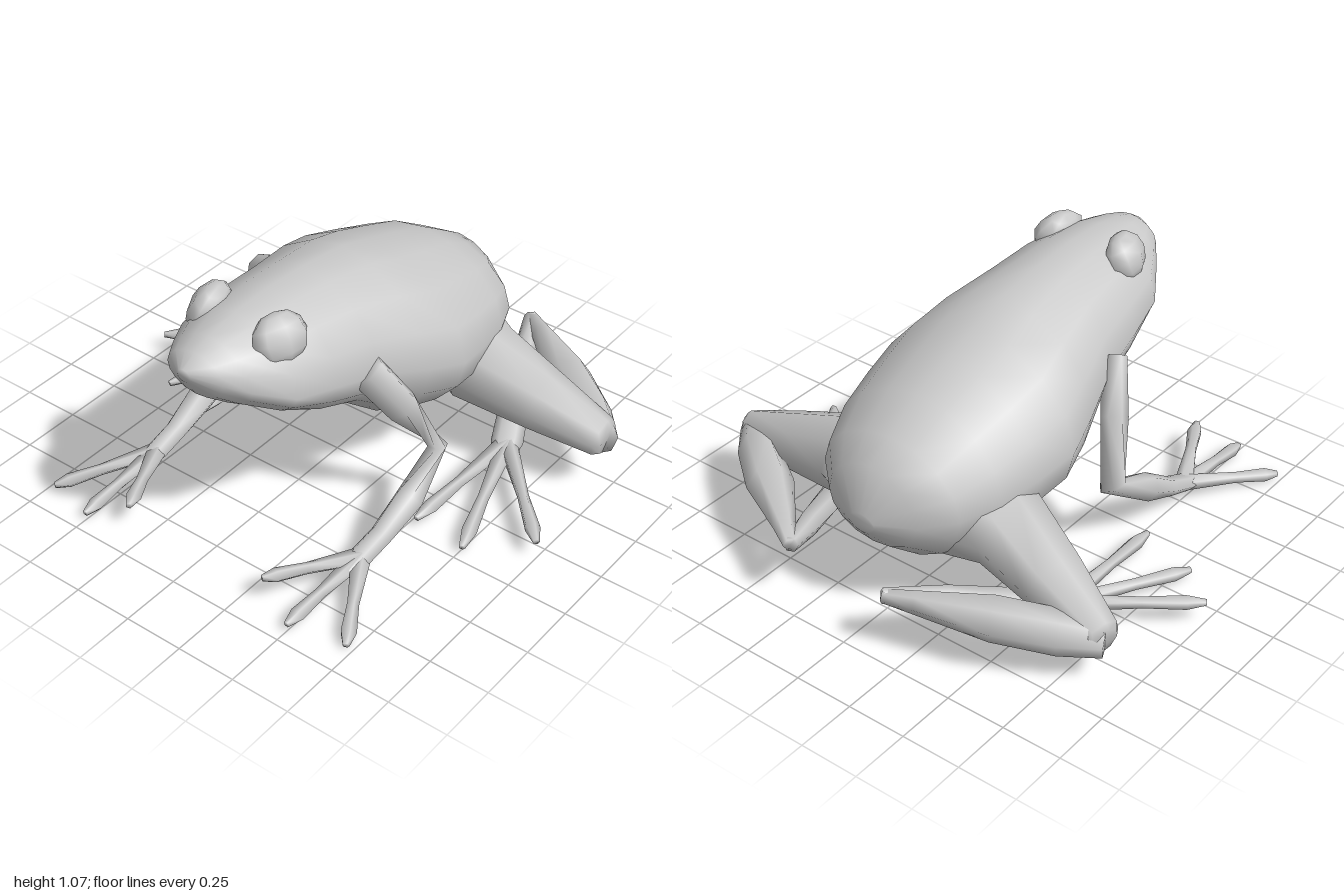
import * as THREE from 'three';

const skin = new THREE.MeshStandardMaterial({ color: 0xc8c8c8 });
skin.name = 'greySkin';

// Skin over a list of equal-sized rings of points, closed at both ends
function loft(name, rings) {
  const n = rings[0].length, pos = [], index = [];
  rings.forEach(r => r.forEach(p => pos.push(p.x, p.y, p.z)));
  for (let i = 0; i < rings.length - 1; i++) {
    for (let j = 0; j < n; j++) {
      const a = i * n + j, b = i * n + (j + 1) % n;
      index.push(a, b, b + n, a, b + n, a + n);
    }
  }
  const last = (rings.length - 1) * n;
  for (let j = 1; j < n - 1; j++) {
    index.push(0, j + 1, j, last, last + j, last + j + 1);
  }
  const geo = new THREE.BufferGeometry();
  geo.setAttribute('position', new THREE.Float32BufferAttribute(pos, 3));
  geo.setIndex(index);
  geo.computeVertexNormals();
  const mesh = new THREE.Mesh(geo, skin);
  mesh.name = name;
  return mesh;
}

// Limb along stations [x, y, z, sideways radius, upright radius]
function limb(name, stations, sides = 6) {
  const c = stations.map(s => new THREE.Vector3(s[0], s[1], s[2]));
  const up = new THREE.Vector3(0, 1, 0);
  return loft(name, stations.map((st, i) => {
    const t = c[Math.min(i + 1, c.length - 1)].clone().sub(c[Math.max(i - 1, 0)]).normalize();
    const s = up.clone().cross(t).normalize();
    const u = t.clone().cross(s);
    return Array.from({ length: sides }, (_, j) => {
      const a = j / sides * Math.PI * 2;
      return c[i].clone().addScaledVector(s, Math.cos(a) * st[3])
        .addScaledVector(u, Math.sin(a) * st[4]);
    });
  }));
}

const mix = (a, b, k) => a.map((v, i) => v + (b[i] - v) * k);

// Toe with a slightly swollen end
function toe(name, from, to) {
  return limb(name, [[...from, 0.042, 0.03], [...mix(from, to, 0.55), 0.024, 0.023],
    [...mix(from, to, 0.86), 0.032, 0.027], [...to, 0.014, 0.012]], 5);
}

function createBody(cx) {
  // z, top, widest height, bottom, half width
  const sections = [
    [0.92, 0.97, 0.945, 0.92, 0.03], [0.86, 1.01, 0.92, 0.83, 0.13],
    [0.78, 1.035, 0.87, 0.77, 0.19], [0.64, 1.06, 0.80, 0.68, 0.28],
    [0.45, 1.065, 0.76, 0.56, 0.32], [0.25, 1.05, 0.71, 0.48, 0.35],
    [0.02, 1.02, 0.63, 0.29, 0.42], [-0.15, 0.965, 0.58, 0.25, 0.465],
    [-0.32, 0.905, 0.55, 0.21, 0.44], [-0.5, 0.84, 0.52, 0.21, 0.40],
    [-0.66, 0.74, 0.50, 0.24, 0.33], [-0.77, 0.67, 0.48, 0.33, 0.21],
    [-0.83, 0.49, 0.45, 0.41, 0.06],
  ];
  // Rounded back narrowing upwards, fuller belly below
  return loft('body', sections.map(([z, top, mid, bottom, w]) =>
    Array.from({ length: 16 }, (_, j) => {
      const a = j / 16 * Math.PI * 2, c = Math.cos(a), s = Math.sin(a);
      const x = Math.sign(c) * Math.abs(c) ** (s > 0 ? 1.15 : 0.95);
      return new THREE.Vector3(cx - x * w, mid + s * (s > 0 ? top - mid : mid - bottom), z);
    })));
}

function createFrontLeg(name, side, elbowX, wristX) {
  const leg = new THREE.Group();
  leg.name = name;
  const wrist = [wristX, 0.09, 0.53];
  leg.add(limb('arm', [
    [elbowX - side * 0.17, 0.74, 0.29, 0.05, 0.075],
    [elbowX - side * 0.085, 0.55, 0.18, 0.055, 0.07],
    [elbowX, 0.33, 0.06, 0.04, 0.06],
    [elbowX + side * 0.02, 0.21, 0.27, 0.06, 0.058],
    [(elbowX + wristX) / 2 + side * 0.01, 0.13, 0.42, 0.05, 0.038],
    [...wrist, 0.05, 0.032],
    [wristX, 0.075, 0.62, 0.038, 0.025],
  ]));
  leg.add(toe('outerFinger', wrist, [side * 0.725, 0.03, 0.885]));
  leg.add(toe('middleFinger', wrist, [side * 0.5, 0.045, 0.945]));
  leg.add(toe('innerFinger', wrist, [side * 0.33, 0.125, 0.875]));
  return leg;
}

function createHindLeg(name, cx, side, knee, ankle, foot, toes) {
  const leg = new THREE.Group();
  leg.name = name;
  // Thigh spreads from a broad haunch on the rump
  const hip = [cx + side * 0.36, 0.375, -0.43];
  leg.add(limb('thigh', [
    [cx + side * 0.1, 0.43, -0.55, 0.19, 0.17],
    [...hip, 0.19, 0.165], [...mix(hip, knee, 0.5), 0.135, 0.125],
    [...mix(hip, knee, 0.96), 0.08, 0.085], [...knee, 0.055, 0.07],
  ], 8));
  leg.add(limb('shin', [
    [...knee, 0.045, 0.07], [...mix(knee, ankle, 0.2), 0.085, 0.09],
    [...mix(knee, ankle, 0.5), 0.095, 0.085], [...mix(knee, ankle, 0.85), 0.045, 0.045],
    [...ankle, 0.03, 0.025],
  ]));
  leg.add(limb('foot', [
    [...ankle, 0.03, 0.03], [...mix(ankle, foot, 0.35), 0.05, 0.05],
    [...mix(ankle, foot, 0.7), 0.06, 0.045], [...foot, 0.065, 0.035],
    [foot[0] + side * 0.03, foot[1] - 0.015, foot[2] + 0.08, 0.045, 0.022],
  ]));
  toes.forEach((tip, i) => leg.add(toe('toe' + (i + 1), foot, tip)));
  return leg;
}

export function createModel() {
  const frog = new THREE.Group();
  frog.name = 'frog';
  const cx = 0.037; // body sits slightly to one side of the splayed feet
  frog.add(createBody(cx));

  // Bulging eyes set into the top corners of the head
  for (const side of [-1, 1]) {
    const eye = new THREE.Mesh(new THREE.SphereGeometry(1, 8, 6), skin);
    eye.name = side > 0 ? 'leftEye' : 'rightEye';
    eye.scale.set(0.07, 0.1, 0.12);
    eye.position.set(cx + side * 0.165, 0.99, 0.59);
    eye.rotation.set(0, side * -0.25, side * 0.4);
    frog.add(eye);
  }

  frog.add(createFrontLeg('leftFrontLeg', 1, 0.53, 0.52));
  frog.add(createFrontLeg('rightFrontLeg', -1, -0.465, -0.5));

  // Hind legs are posed a little differently on each side
  frog.add(createHindLeg('leftHindLeg', cx, 1, [0.985, 0.26, -0.44], [0.31, 0.28, -0.93],
    [0.58, 0.1, -0.36], [[0.995, 0.09, 0.06], [0.76, 0.04, 0.21], [0.54, 0.06, 0.2]]));
  frog.add(createHindLeg('rightHindLeg', cx, -1, [-0.89, 0.2, -0.585], [-0.14, 0.26, -0.93],
    [-0.57, 0.1, -0.4], [[-0.995, 0.1, -0.07], [-0.8, 0.04, 0.12], [-0.55, 0.06, 0.19]]));
  return frog;
}
